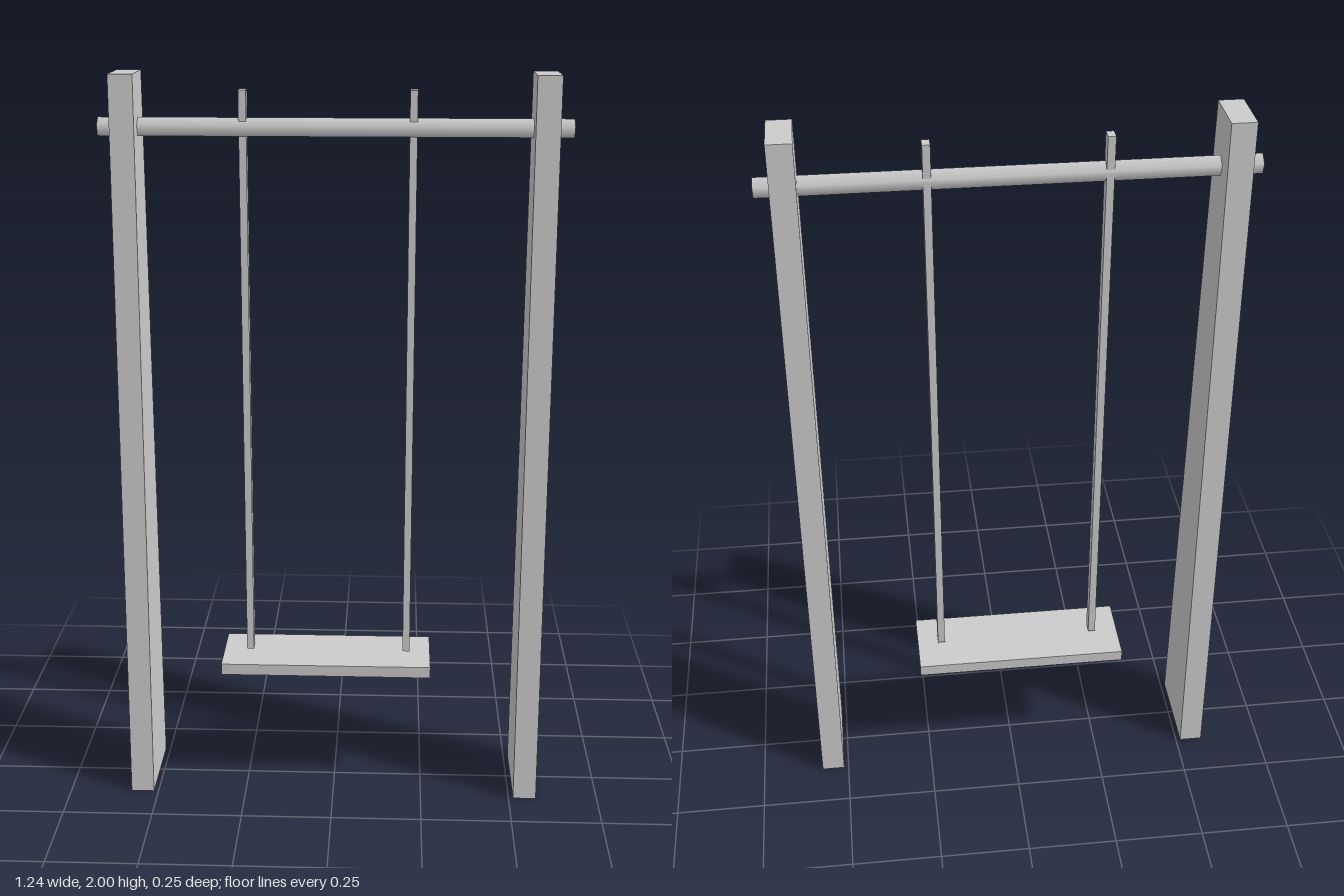
import * as THREE from 'three';

export function createModel() {
  const group = new THREE.Group();
  const material = new THREE.MeshStandardMaterial({ color: 0xcccccc });
  const add = (name, geometry, x, y, z) => {
    const mesh = new THREE.Mesh(geometry, material);
    mesh.name = name;
    mesh.position.set(x, y, z);
    group.add(mesh);
  };

  // Tapered posts: side profile (z, y) extruded across x
  const profile = new THREE.Shape([[0.125, 0], [0.03, 2], [-0.115, 2], [-0.123, 0]]
    .map(([z, y]) => new THREE.Vector2(z, y)));
  const post = new THREE.ExtrudeGeometry(profile, { depth: 0.064, bevelEnabled: false });
  post.translate(0, 0, -0.032).rotateY(-Math.PI / 2);
  add('leftPost', post, 0.545, 0, 0);
  add('rightPost', post, -0.545, 0, 0);

  // Five-sided crossbar passing through both posts
  const bar = new THREE.CylinderGeometry(0.026, 0.026, 1.236, 5, 1, false, Math.PI / 2);
  bar.rotateZ(Math.PI / 2);
  add('crossbar', bar, 0, 1.86, -0.036);

  // Hangers: thin straps leaning slightly back toward the top
  const length = 1.565;
  const hanger = new THREE.BoxGeometry(0.02, length, 0.034);
  const lean = new THREE.Matrix4().set(
    1, 0, 0, 0,
    0, 1, 0, 0,
    0, -0.022 / length, 1, 0,
    0, 0, 0, 1
  );
  hanger.applyMatrix4(lean);
  add('leftHanger', hanger, 0.204, 0.392 + length / 2, -0.031);
  add('rightHanger', hanger, -0.24, 0.392 + length / 2, -0.031);

  // Seat board
  add('seat', new THREE.BoxGeometry(0.588, 0.032, 0.207), -0.022, 0.366, -0.023);

  return group;
}
